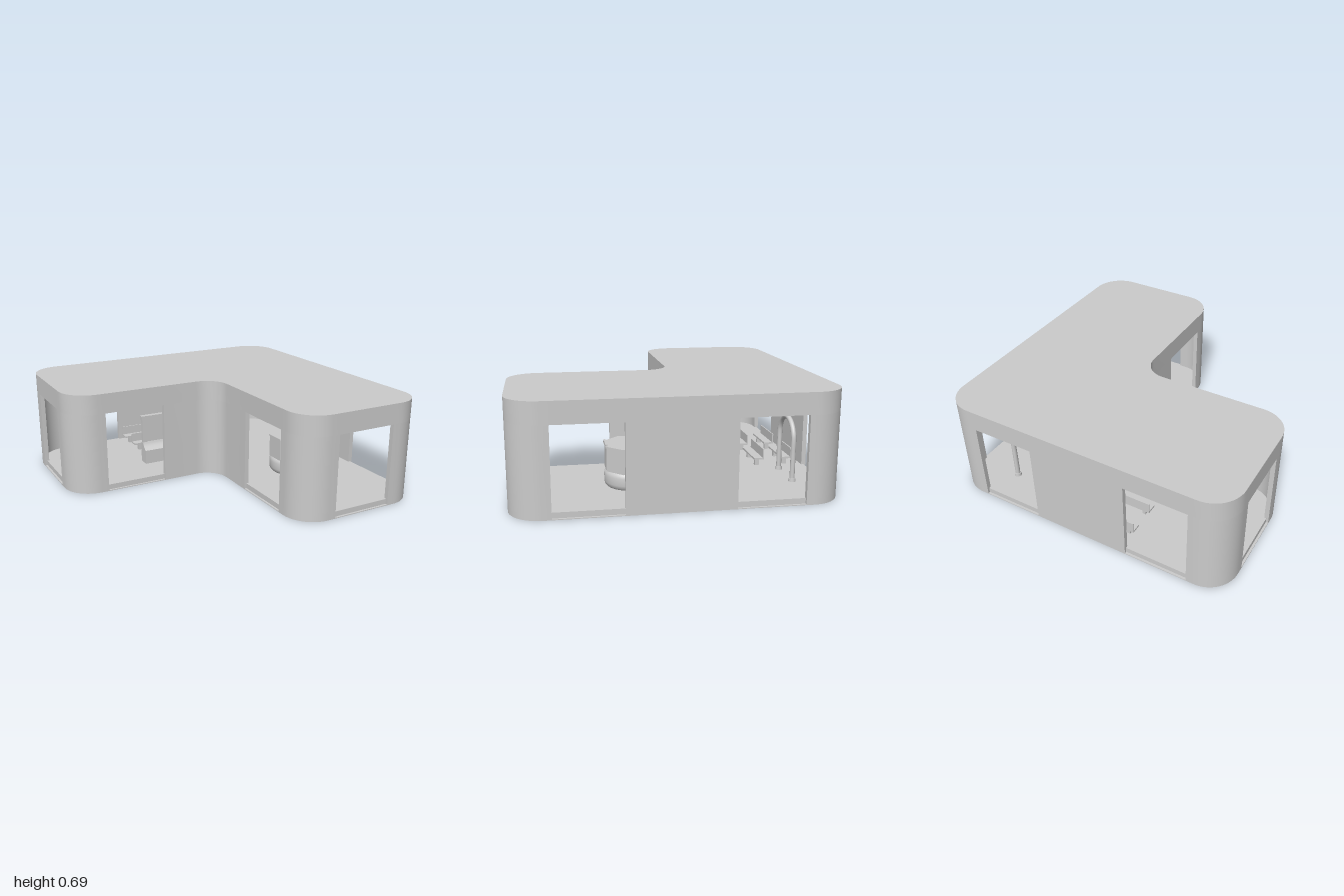
import * as THREE from 'three';
import { toCreasedNormals } from 'three/addons/utils/BufferGeometryUtils.js';

const mat = new THREE.MeshStandardMaterial({ color: 0xcccccc });
const H = 0.685, CEIL = 0.55, FLOOR = 0.04, WALL = 0.03;
const R = 0.2, RC = 0.155;

function add(parent, name, geo, x = 0, y = 0, z = 0) {
  const m = new THREE.Mesh(geo, mat);
  m.name = name;
  m.position.set(x, y, z);
  parent.add(m);
  return m;
}
const box = (parent, name, w, h, d, x, y, z) => add(parent, name, new THREE.BoxGeometry(w, h, d), x, y, z);

// Plan coordinates are (x, -z), running counter-clockwise.
// Each wall piece lies between two openings: start, [corner], end.
const pieces = [
  [[0.75, -1], [1, -1], [1, -0.75]],
  [[1, -0.33], [1, 0.33]],
  [[1, 0.75], [1, 1], [0.75, 1]],
  [[0.33, 1], [-0.33, 1]],
  [[-0.75, 1], [-1, 1], [-1, 0.75]],
  [[-1, 0.33], [-1, 0.08], [-0.75, 0.08]],
  [[-0.33, 0.08], [0.075, 0.08], [0.075, -0.33]],
  [[0.075, -0.75], [0.075, -1], [0.33, -1]],
];

// Points along one wall piece with its corner rounded, moved inwards by inset
function trace(piece, inset) {
  const p = piece.map(([x, y]) => new THREE.Vector2(x, y));
  const left = (d) => new THREE.Vector2(-d.y, d.x);
  const first = p[1].clone().sub(p[0]).normalize();
  const last = p[p.length - 1].clone().sub(p[p.length - 2]).normalize();
  const out = [p[0].clone().addScaledVector(left(first), inset)];
  if (p.length === 3) {
    const sign = Math.sign(first.cross(last));
    const r = sign > 0 ? R : RC;
    const centre = p[1].clone().addScaledVector(first, -r).addScaledVector(left(first), r * sign);
    for (let i = 0; i <= 14; i++) {
      const n = left(first).rotateAround(new THREE.Vector2(), sign * (i / 14) * Math.PI / 2);
      out.push(centre.clone().addScaledVector(n, inset - r * sign));
    }
  }
  out.push(p[p.length - 1].clone().addScaledVector(left(last), inset));
  return out;
}

// Raise a plan shape from y0 to y1
function raise(points, y0, y1) {
  const geo = new THREE.ExtrudeGeometry(new THREE.Shape(points), { depth: y1 - y0, bevelEnabled: false });
  geo.rotateX(-Math.PI / 2).translate(0, y0, 0);
  return toCreasedNormals(geo, 0.5);
}
const slab = (inset, y0, y1) => raise(pieces.flatMap((p) => trace(p, inset)), y0, y1);

function buildShell(g) {
  add(g, 'basePlate', slab(0, 0, 0.005));
  add(g, 'floor', slab(0.015, 0.004, FLOOR));
  add(g, 'roof', slab(0, CEIL, H));
  for (const p of pieces) {
    add(g, 'wall', raise([...trace(p, 0), ...trace(p, WALL).reverse()], 0.005, CEIL));
  }
}

// Octagonal counter on a round cushioned base
function buildCounter() {
  const g = new THREE.Group();
  g.name = 'counter';
  const profile = [[0, 0], [0.155, 0], [0.166, 0.012], [0.17, 0.03], [0.17, 0.075], [0.166, 0.093], [0.155, 0.105], [0, 0.105]]
    .map(([x, y]) => new THREE.Vector2(x, y));
  add(g, 'counterBase', toCreasedNormals(new THREE.LatheGeometry(profile, 40), 0.7), 0, FLOOR, 0);
  const k = 1 / Math.cos(Math.PI / 8);
  const octagon = (apothem, h) => toCreasedNormals(
    new THREE.CylinderGeometry(apothem * k, apothem * k, h, 8).rotateY(Math.PI / 8), 0.4);
  add(g, 'counterBody', octagon(0.161, 0.152), 0, 0.221, 0);
  add(g, 'counterTop', octagon(0.167, 0.01), 0, 0.3, 0);
  box(g, 'counterLedge', 0.135, 0.012, 0.012, 0, 0.31, 0.16);
  g.position.set(0.535, 0, 0.24);
  return g;
}

// Tubular arch standing on two collars
function buildArch() {
  const g = new THREE.Group();
  g.name = 'arch';
  const r = 0.13, spring = 0.305;
  const pts = [[-r, FLOOR], [-r, 0.13], [-r, 0.22]];
  for (let i = 0; i <= 12; i++) {
    const a = Math.PI * (1 - i / 12);
    pts.push([r * Math.cos(a), spring + r * Math.sin(a)]);
  }
  pts.push([r, 0.22], [r, 0.13], [r, FLOOR]);
  const path = new THREE.CatmullRomCurve3(pts.map(([x, y]) => new THREE.Vector3(x, y, 0)));
  add(g, 'archTube', new THREE.TubeGeometry(path, 72, 0.016, 14));
  for (const s of [-1, 1]) {
    add(g, 'archCollar', new THREE.CylinderGeometry(0.022, 0.024, 0.02, 20), s * r, FLOOR + 0.01, 0);
  }
  g.position.set(0.535, 0, -0.78);
  return g;
}

// Wide screen with end posts, caps and a sloping console in front
function buildScreen() {
  const g = new THREE.Group();
  g.name = 'screenStand';
  box(g, 'screenPanel', 0.68, 0.17, 0.014, 0, 0.275, -0.405);
  box(g, 'screenCap', 0.74, 0.03, 0.036, 0, 0.375, -0.402);
  for (const s of [-1, 1]) box(g, 'screenPost', 0.03, 0.32, 0.022, s * 0.347, 0.2, -0.405);
  const side = new THREE.Shape();
  side.moveTo(0.42, 0).lineTo(0.42, 0.145).lineTo(0.385, 0.15);
  side.quadraticCurveTo(0.375, 0.12, 0.34, 0.1);
  side.lineTo(0.34, 0);
  const geo = new THREE.ExtrudeGeometry(side, { depth: 0.73, bevelEnabled: false, curveSegments: 8 });
  geo.rotateY(Math.PI / 2).translate(-0.365, FLOOR, 0);
  add(g, 'console', toCreasedNormals(geo, 0.5));
  return g;
}

// Bench with a low back, facing the screen
function buildBench(x, z) {
  const g = new THREE.Group();
  g.name = 'bench';
  const w = 0.28;
  box(g, 'benchSeat', w, 0.012, 0.068, 0, 0.094, 0);
  box(g, 'benchBack', w, 0.066, 0.008, 0, 0.129, -0.03);
  for (const s of [-1, 1]) box(g, 'benchLeg', 0.025, 0.05, 0.03, s * 0.09, 0.065, 0.002);
  g.position.set(x, 0, z);
  return g;
}

function buildCeilingFittings(g) {
  // flat ring light over the front wing
  const ring = add(g, 'ringLight', new THREE.TorusGeometry(0.19, 0.014, 8, 48), 0.54, CEIL - 0.002, 0.69);
  ring.rotation.x = Math.PI / 2;
  ring.scale.z = 0.5;
  // strip lights
  for (const [x, z] of [[0.74, -0.37], [0.5, -0.12], [0.62, -0.7], [-0.75, -0.7]]) {
    box(g, 'stripLight', 0.22, 0.012, 0.022, x, CEIL - 0.002, z);
  }
  // hovering oval lamp
  const lamp = add(g, 'ovalLamp', new THREE.SphereGeometry(1, 32, 12), 0.05, 0.454, -0.575);
  lamp.scale.set(0.12, 0.007, 0.042);
}

export function createModel() {
  const g = new THREE.Group();
  g.name = 'pavilion';
  buildShell(g);
  g.add(buildCounter(), buildArch(), buildScreen());
  for (const x of [-0.19, 0.19]) for (const z of [-0.667, -0.86]) g.add(buildBench(x, z));
  buildCeilingFittings(g);
  return g;
}
